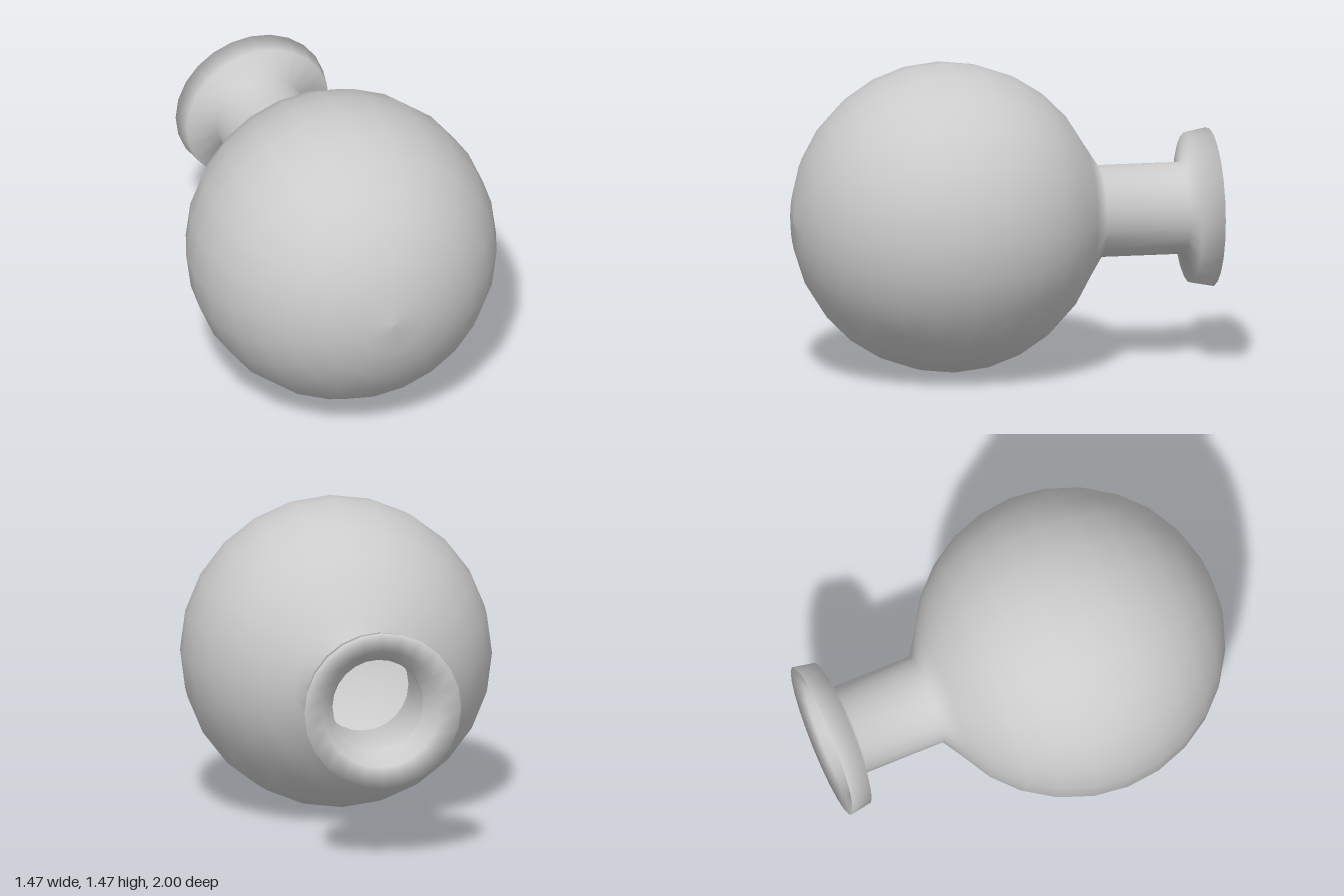
import * as THREE from 'three';

export function createModel() {
  const group = new THREE.Group();
  group.name = 'flask';
  const material = new THREE.MeshStandardMaterial({ color: 0xcccccc, side: THREE.DoubleSide });

  const radius = 0.735;
  const profile = [];

  // Round bulb, from its front pole back to the shoulder
  for (let i = 0; i <= 12; i++) {
    const a = (i * Math.PI) / 14;
    profile.push(new THREE.Vector2(radius * Math.sin(a), -0.265 - radius * Math.cos(a)));
  }

  // Neck, flared collar, then the rim folding into the mouth funnel
  const neckAndCollar = [
    [0.217, 0.465], [0.217, 0.865],
    [0.355, 0.895], [0.375, 1],
    [0.28, 0.97], [0.217, 0.866],
  ];
  for (const [r, d] of neckAndCollar) profile.push(new THREE.Vector2(r, d));

  // Turn the lathe axis so the mouth points backwards
  const geometry = new THREE.LatheGeometry(profile, 24);
  geometry.rotateX(-Math.PI / 2);
  geometry.translate(0, radius, 0);

  const body = new THREE.Mesh(geometry, material);
  body.name = 'flaskBody';
  group.add(body);
  return group;
}
